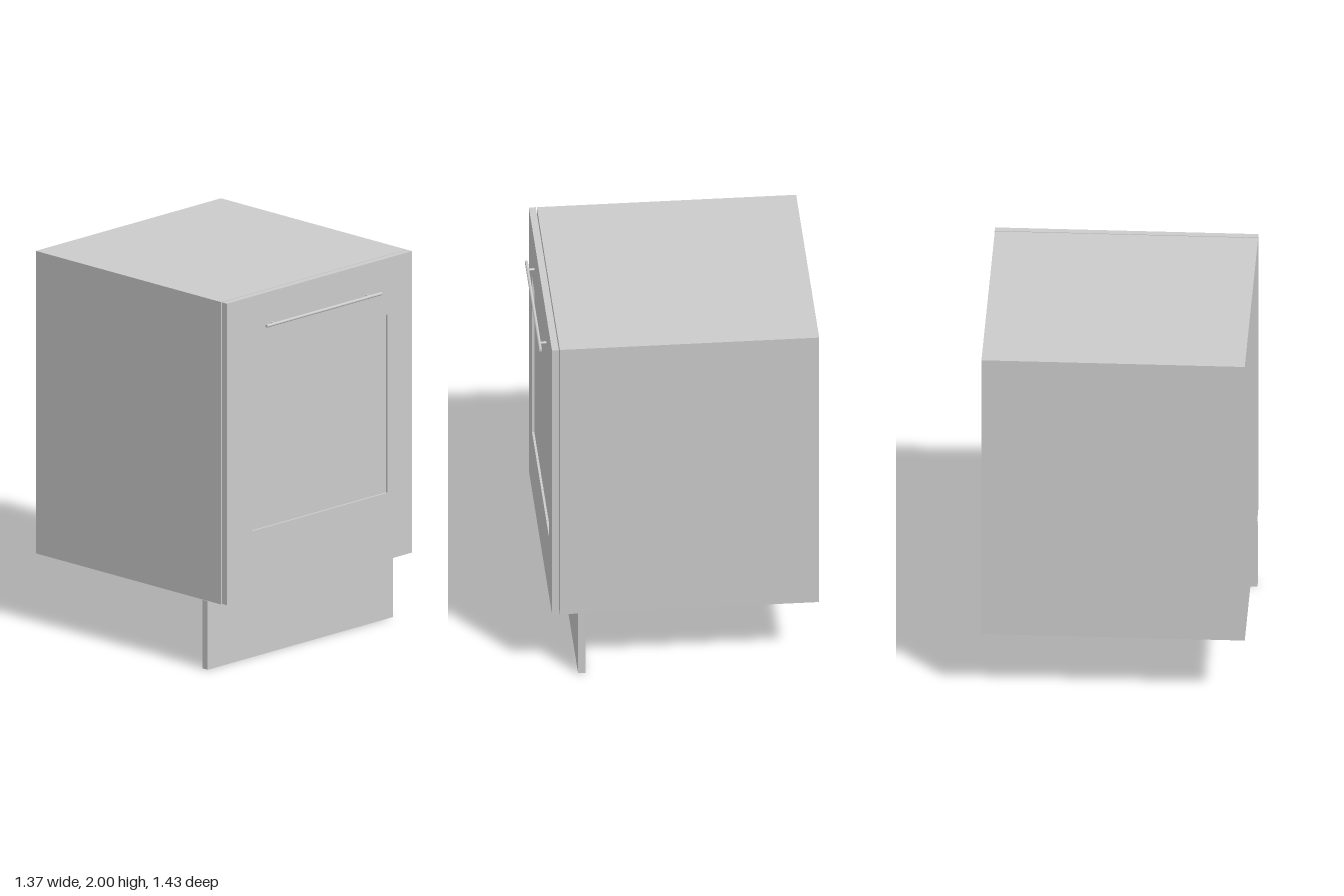
import * as THREE from 'three';

const material = new THREE.MeshStandardMaterial({ color: 0xcccccc });

function addMesh(parent, name, geometry) {
  const mesh = new THREE.Mesh(geometry, material);
  mesh.name = name;
  parent.add(mesh);
  return mesh;
}

// Box given by its minimum and maximum corners
function addBox(parent, name, [x0, y0, z0], [x1, y1, z1]) {
  const mesh = addMesh(parent, name, new THREE.BoxGeometry(x1 - x0, y1 - y0, z1 - z0));
  mesh.position.set((x0 + x1) / 2, (y0 + y1) / 2, (z0 + z1) / 2);
  return mesh;
}

function rectangle(target, x0, y0, x1, y1) {
  target.moveTo(x0, y0);
  target.lineTo(x1, y0);
  target.lineTo(x1, y1);
  target.lineTo(x0, y1);
  target.closePath();
  return target;
}

export function createModel() {
  const model = new THREE.Group();
  model.name = 'builtInOven';

  // Cabinet body and the plinth it stands on
  addBox(model, 'body', [-0.684, 0.37, -0.717], [0.68, 2, 0.63]);
  addBox(model, 'plinth', [-0.687, 0, 0.497], [0.677, 0.37, 0.535]);

  // Door frame with a window opening, closed by a slightly recessed pane
  const door = new THREE.Group();
  door.name = 'door';
  model.add(door);
  const outline = rectangle(new THREE.Shape(), -0.684, 0.375, 0.681, 2);
  outline.holes.push(rectangle(new THREE.Path(), -0.5, 0.735, 0.5, 1.695));
  const frame = new THREE.ExtrudeGeometry(outline, { depth: 0.036, bevelEnabled: false });
  addMesh(door, 'doorFrame', frame).position.z = 0.635;
  addBox(door, 'windowPane', [-0.5, 0.735, 0.637], [0.5, 1.695, 0.659]);

  // Handle bar on two short posts
  const handle = new THREE.Group();
  handle.name = 'handle';
  handle.position.set(-0.005, 1.833, 0);
  door.add(handle);
  const bar = addMesh(handle, 'handleBar', new THREE.CylinderGeometry(0.008, 0.008, 0.846, 16));
  bar.rotation.z = Math.PI / 2;
  bar.position.z = 0.707;
  for (const side of [-1, 1]) {
    const post = addMesh(handle, 'handlePost', new THREE.CylinderGeometry(0.009, 0.009, 0.036, 16));
    post.scale.z = 0.45;
    post.rotation.x = Math.PI / 2;
    post.position.set(side * 0.349, 0, 0.687);
  }

  return model;
}
